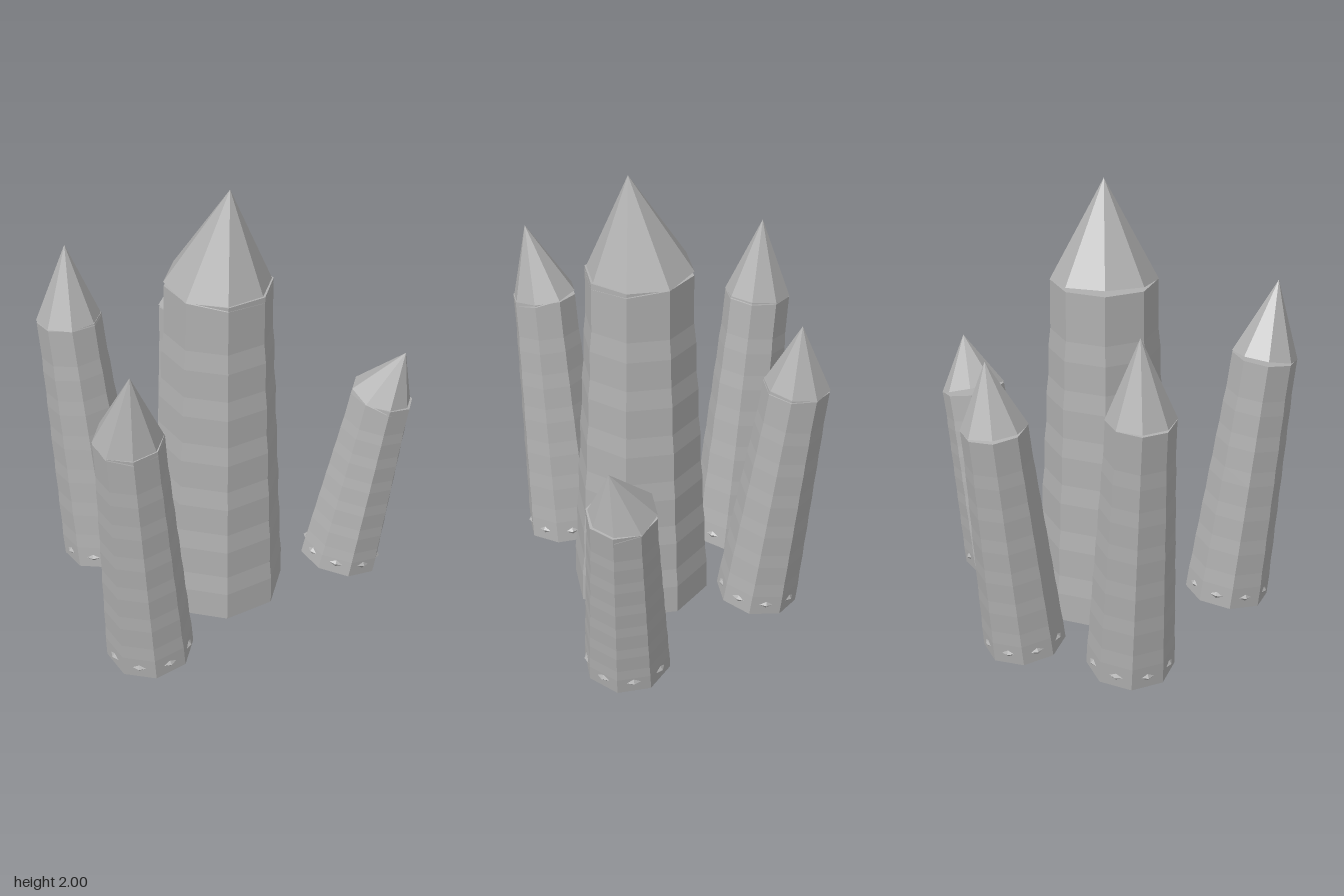
import * as THREE from 'three';

const UP = new THREE.Vector3(0, 1, 0);
const SIDES = 8;

// base centre, shoulder centre, tip, base radius, shoulder radius, root size relative to the base
const CRYSTALS = [
  { name: 'centralCrystal', base: [0.12, 0.03, -0.05], top: [0.12, 1.57, -0.05], tip: [0.17, 2, -0.05], r0: 0.305, r1: 0.233, root: 0.9 },
  { name: 'leftLeaningCrystal', base: [-0.45, 0.022, 0.05], top: [-0.586, 1.23, 0.085], tip: [-0.6, 1.58, 0.08], r0: 0.19, r1: 0.146, root: 0.985 },
  { name: 'backLeftCrystal', base: [-0.265, 0.025, -0.41], top: [-0.366, 1.1, -0.51], tip: [-0.36, 1.39, -0.54], r0: 0.18, r1: 0.143, root: 0.985 },
  { name: 'backRightCrystal', base: [0.49, 0.037, -0.53], top: [0.588, 0.88, -0.657], tip: [0.67, 1.11, -0.7], r0: 0.185, r1: 0.147, root: 0.985 },
  { name: 'frontCrystal', base: [0.17, 0.025, 0.515], top: [0.185, 1.19, 0.655], tip: [0.24, 1.52, 0.71], r0: 0.19, r1: 0.147, root: 0.985 },
];

// Shaft profile: closed prism that narrows in shallow tiers
function shaftGeometry(length, r0, r1, tiers = 7) {
  const points = [new THREE.Vector2(0, 0)];
  for (let i = 0; i < tiers; i++) {
    const r = THREE.MathUtils.lerp(r0, r1, i / (tiers - 1));
    points.push(new THREE.Vector2(r, (length * i) / tiers));
    points.push(new THREE.Vector2(r - 0.002, (length * (i + (i < tiers - 1 ? 0.6 : 1))) / tiers));
  }
  points.push(new THREE.Vector2(0, length));
  return new THREE.LatheGeometry(points, SIDES);
}

// Faceted root: its corners poke through the shaft faces and its belly bulges below the base
function rootGeometry(r) {
  const profile = [[0, -0.066], [0.45, -0.052], [0.86, -0.032], [1, 0], [0.86, 0.032], [0, 0.06]];
  const geometry = new THREE.LatheGeometry(profile.map(([x, y]) => new THREE.Vector2(x * r, y)), SIDES);
  return geometry.rotateY(Math.PI / SIDES).translate(0, 0.05, 0);
}

// Stand a mesh at one point with its own y axis aimed along a direction
function place(geometry, material, name, at, direction) {
  const mesh = new THREE.Mesh(geometry, material);
  mesh.name = name;
  mesh.position.copy(at);
  mesh.quaternion.setFromUnitVectors(UP, direction.clone().normalize());
  return mesh;
}

export function createModel() {
  const stone = new THREE.MeshStandardMaterial({ name: 'grey stone', color: 0xb0b0b0, flatShading: true });
  const model = new THREE.Group();
  model.name = 'crystalCluster';

  for (const c of CRYSTALS) {
    const [base, top, tip] = [c.base, c.top, c.tip].map((p) => new THREE.Vector3(...p));
    const axis = top.clone().sub(base);
    const point = tip.clone().sub(top);
    const height = point.length();
    const crystal = new THREE.Group();
    crystal.name = c.name;

    crystal.add(place(shaftGeometry(axis.length(), c.r0, c.r1), stone, 'shaft', base, axis));
    crystal.add(place(rootGeometry(c.r0 * c.root), stone, 'root', base, axis));

    // Pointed cap, tilted a little so a gap opens on one side
    const cap = new THREE.ConeGeometry(c.r1, height, SIDES).translate(0, height / 2, 0);
    crystal.add(place(cap, stone, 'point', top, point));
    model.add(crystal);
  }
  return model;
}
